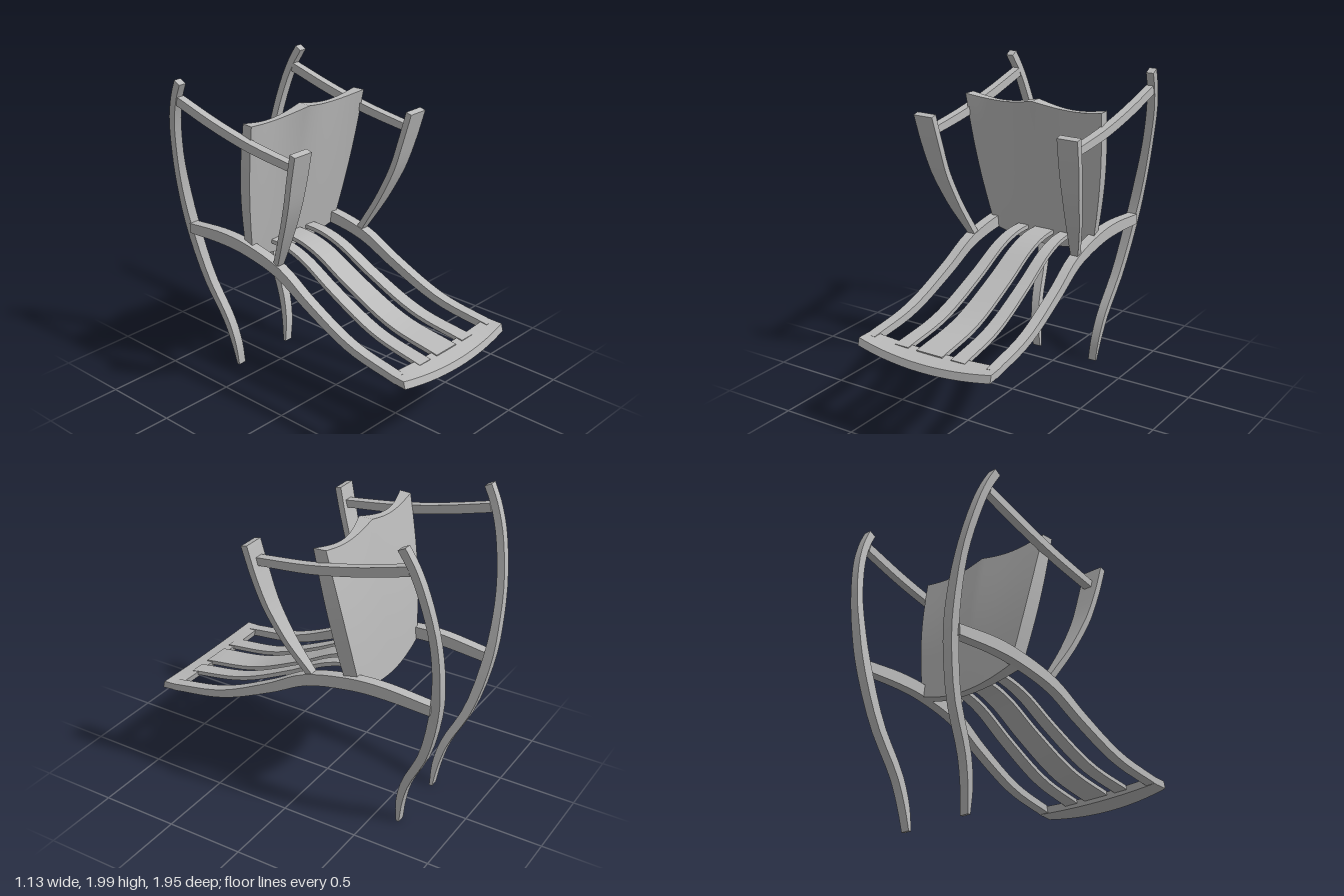
import * as THREE from 'three';

const lerp = THREE.MathUtils.lerp;

// Box whose vertices are moved by rule(x, y, z) -> [x, y, z], inputs in -1..1
function shapedBox(name, material, segments, rule) {
  const geometry = new THREE.BoxGeometry(2, 2, 2, ...segments);
  const p = geometry.attributes.position;
  for (let i = 0; i < p.count; i++) {
    p.setXYZ(i, ...rule(p.getX(i), p.getY(i), p.getZ(i)));
  }
  geometry.computeVertexNormals();
  const mesh = new THREE.Mesh(geometry, material);
  mesh.name = name;
  return mesh;
}

// Bent bar: stations are [z, y, inner x, outer x, thickness]
function bar(name, material, stations, side = 1) {
  const path = new THREE.CatmullRomCurve3(stations.map(s => new THREE.Vector3(0, s[1], s[0])));
  const widths = new THREE.CatmullRomCurve3(stations.map(s => new THREE.Vector3(s[2], s[3], s[4])));
  return shapedBox(name, material, [1, 1, 28], (x, y, z) => {
    const t = (z + 1) / 2;
    const c = path.getPoint(t), d = path.getTangent(t), w = widths.getPoint(t);
    const px = x * side > 0 ? w.y : w.x;
    return [px * side, c.y + d.z * y * w.z / 2, c.z - d.y * y * w.z / 2];
  });
}

export function createModel() {
  const group = new THREE.Group();
  group.name = 'chair';
  const grey = new THREE.MeshStandardMaterial({ color: 0xbababa });
  grey.name = 'grey';

  const legPath = [
    [-0.655, 0.005, 0.19, 0.245, 0.02], [-0.67, 0.16, 0.207, 0.265, 0.042],
    [-0.715, 0.33, 0.226, 0.285, 0.05], [-0.845, 0.6, 0.26, 0.32, 0.056],
    [-0.93, 0.95, 0.305, 0.37, 0.06], [-0.95, 1.2, 0.345, 0.41, 0.05],
    [-0.94, 1.45, 0.395, 0.45, 0.048], [-0.89, 1.72, 0.445, 0.5, 0.048],
    [-0.835, 1.88, 0.47, 0.522, 0.048], [-0.78, 1.985, 0.487, 0.537, 0.05],
  ];
  const seatRailPath = [
    [-0.91, 0.962, 0.32, 0.384, 0.066], [-0.6, 0.988, 0.33, 0.395, 0.078],
    [-0.4, 0.98, 0.335, 0.4, 0.078], [-0.1, 0.92, 0.348, 0.412, 0.072],
    [0.15, 0.792, 0.362, 0.425, 0.062], [0.5, 0.645, 0.378, 0.443, 0.052],
    [0.87, 0.583, 0.392, 0.459, 0.045],
  ];
  const armPath = [
    [-0.815, 1.857, 0.466, 0.516, 0.056], [-0.5, 1.773, 0.468, 0.519, 0.056],
    [-0.2, 1.712, 0.466, 0.519, 0.054], [0.155, 1.668, 0.458, 0.512, 0.048],
  ];
  const armPostPath = [
    [-0.125, 0.955, 0.35, 0.4, 0.04], [-0.005, 1.18, 0.385, 0.475, 0.038],
    [0.09, 1.4, 0.41, 0.525, 0.04], [0.15, 1.6, 0.42, 0.553, 0.04],
    [0.195, 1.775, 0.432, 0.567, 0.042],
  ];

  // Mirrored frame parts
  for (const [side, label] of [[1, 'left'], [-1, 'right']]) {
    group.add(
      bar(label + 'CurvedLeg', grey, legPath, side),
      bar(label + 'SeatRail', grey, seatRailPath, side),
      bar(label + 'ArmRail', grey, armPath, side),
      bar(label + 'ArmPost', grey, armPostPath, side),
    );
  }

  // Seat slats follow the rails and widen toward the front
  const slat = (name, back, front) => bar(name, grey, [
    [-0.4, 0.972], [-0.25, 0.963], [-0.1, 0.92], [0.15, 0.792], [0.5, 0.645], [0.87, 0.583],
  ].map(([z, y]) => {
    const t = (z + 0.4) / 1.27;
    return [z, y, lerp(back[0], front[0], t), lerp(back[1], front[1], t), 0.026];
  }));
  group.add(
    slat('centreSlat', [-0.068, 0.068], [-0.09, 0.09]),
    slat('leftSlat', [0.118, 0.188], [0.15, 0.246]),
    slat('rightSlat', [-0.188, -0.118], [-0.246, -0.15]),
  );

  // Bowed front rail of the seat
  group.add(shapedBox('frontSeatRail', grey, [20, 1, 1], (x, y, z) => {
    const bow = 1 - x * x;
    const front = z > 0;
    const mid = front ? 0.583 - 0.037 * bow : 0.588 - 0.016 * bow;
    return [
      x * (front ? 0.463 : 0.457),
      mid + y * 0.023,
      (front ? 0.938 + 0.032 * bow : 0.828 + 0.01 * bow) + y * -0.006,
    ];
  }));

  // Padded back with two scallops along its top
  group.add(shapedBox('backPanel', grey, [32, 20, 1], (x, y, z) => {
    const v = (y + 1) / 2, bow = 1 - x * x;
    const scallop = Math.abs(Math.sin(Math.PI * x));
    const front = z > 0;
    const top = 1.83 + 0.01 * bow - 0.036 * scallop;
    const bottom = 0.945 - 0.073 * bow;
    const half = lerp(0.365, 0.483, v) + 0.02 * Math.sin(Math.PI * v);
    const narrow = front ? 1 : lerp(0.95, 0.985, v);
    const pz = front
      ? lerp(-0.355, -0.21, v) - 0.045 * scallop * v * v - 0.035 * bow * (1 - v * v)
      : lerp(-0.435, -0.287, v) - 0.012 * bow - 0.015 * Math.sin(Math.PI * v);
    return [x * half * narrow, lerp(bottom, top, v), pz];
  }));

  return group;
}
